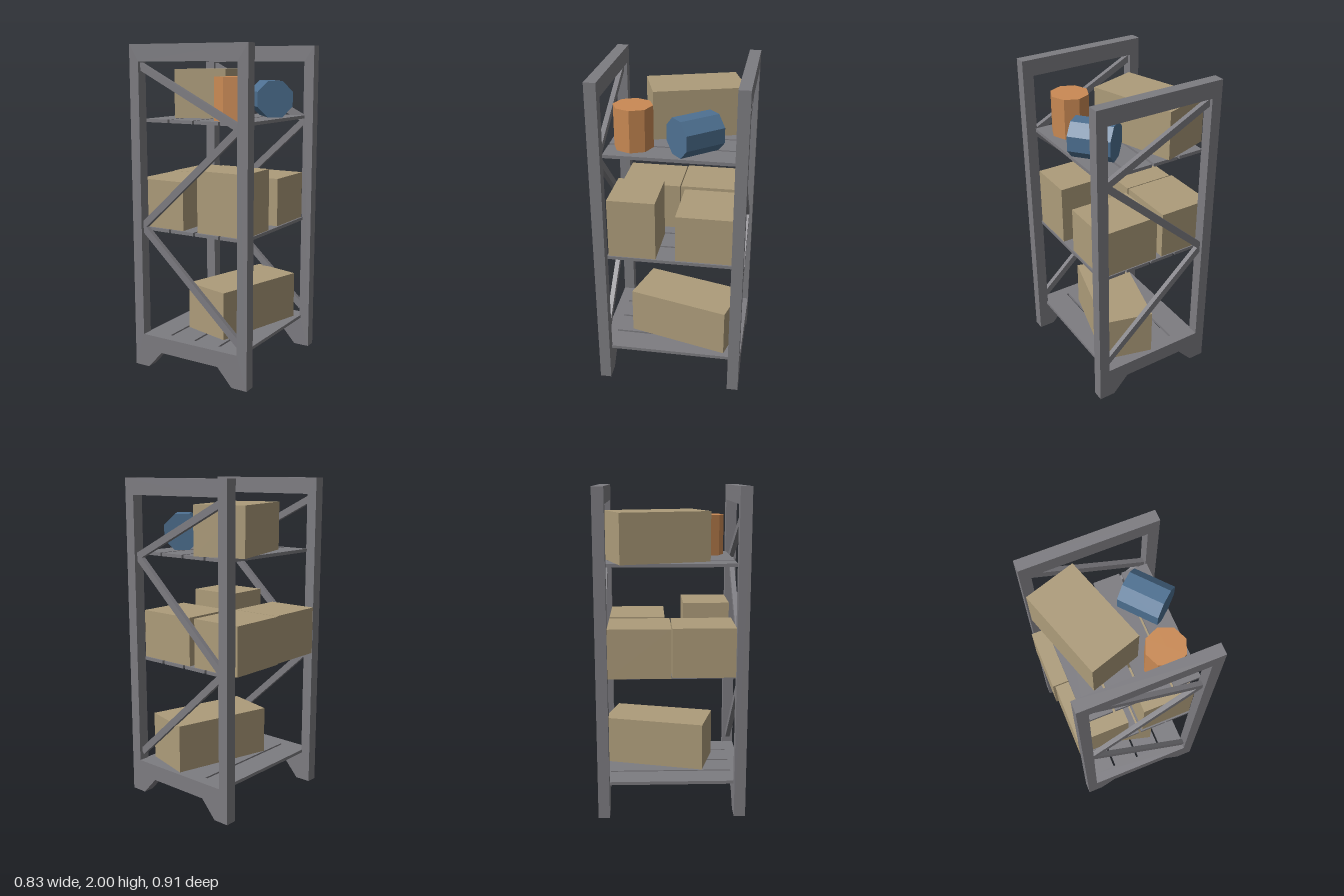
import * as THREE from 'three';

const mat = (name, color) => {
  const m = new THREE.MeshStandardMaterial({ color });
  m.name = name;
  return m;
};

export function createModel() {
  const model = new THREE.Group();
  model.name = 'storageRack';
  const steel = mat('steelGrey', 0x7d7c81);
  const card = mat('cardboard', 0xad9c7a);
  const orange = mat('orangePaint', 0xca8a54);
  const blue = mat('bluePaint', 0x4e7192);

  const add = (parent, name, geo, material, x, y, z, ry = 0) => {
    const mesh = new THREE.Mesh(geo, material);
    mesh.name = name;
    mesh.position.set(x, y, z);
    mesh.rotation.y = ry;
    parent.add(mesh);
    return mesh;
  };
  const path = (points) => points.map(([x, y]) => new THREE.Vector2(x, y));

  // End frame: posts, top rail and footed bottom rail in one outline
  const outline = new THREE.Shape(path([
    [-0.4, 0], [-0.3, 0], [-0.2, 0.11], [0.21, 0.11], [0.31, 0], [0.413, 0], [0.413, 2], [-0.4, 2],
  ]));
  outline.holes.push(new THREE.Path(path([
    [-0.335, 0.21], [-0.335, 1.9], [0.345, 1.9], [0.345, 0.21],
  ])));
  const frameGeo = new THREE.ExtrudeGeometry(outline, { depth: 0.07, bevelEnabled: false });
  frameGeo.translate(0, 0, -0.035);

  // Zigzag of diagonal braces between the posts
  const zigzag = [[-0.345, 1.875], [0.345, 1.53], [-0.345, 0.9], [0.345, 0.265]];
  for (const [side, z] of [['front', 0.418], ['back', -0.418]]) {
    const end = new THREE.Group();
    end.name = side + 'EndFrame';
    end.position.z = z;
    model.add(end);
    add(end, side + 'Frame', frameGeo, steel, 0, 0, 0);
    for (let i = 0; i < 3; i++) {
      const [x0, y0] = zigzag[i], [x1, y1] = zigzag[i + 1];
      const length = Math.hypot(x1 - x0, y1 - y0);
      const brace = add(end, side + 'Brace', new THREE.BoxGeometry(length, 0.042, 0.03), steel,
        (x0 + x1) / 2, (y0 + y1) / 2, 0);
      brace.rotation.z = Math.atan((y1 - y0) / (x1 - x0));
    }
  }

  // Three shelves of four slats
  const slatGeo = new THREE.BoxGeometry(0.162, 0.02, 0.77);
  for (const top of [0.21, 0.89, 1.56]) {
    const shelf = new THREE.Group();
    shelf.name = 'shelf';
    model.add(shelf);
    for (let i = 0; i < 4; i++) {
      add(shelf, 'slat', slatGeo, steel, -0.259 + i * 0.177, top - 0.01, 0);
    }
  }

  // Cartons: name, size, centre x, shelf top, centre z, turn
  const cartons = [
    ['bottomCarton', [0.32, 0.3, 0.65], 0.08, 0.21, -0.072, -0.264],
    ['middleRightFrontCarton', [0.325, 0.298, 0.378], -0.238, 0.892, 0.19, 0],
    ['middleRightBackCarton', [0.335, 0.298, 0.375], -0.247, 0.892, -0.193, 0],
    ['middleLeftBackCarton', [0.385, 0.298, 0.345], 0.153, 0.892, -0.208, 0],
    ['uprightCarton', [0.325, 0.375, 0.292], 0.187, 0.892, 0.23, 0],
    ['topCarton', [0.32, 0.295, 0.561], -0.1625, 1.56, -0.0815, 0.308],
  ];
  for (const [name, size, x, y, z, turn] of cartons) {
    add(model, name, new THREE.BoxGeometry(...size), card, x, y + size[1] / 2, z, turn);
  }

  // Eight-sided drums: one standing, one lying on a flat
  const drum = () => new THREE.CylinderGeometry(0.118, 0.118, 0.255, 8).toNonIndexed();
  const standing = drum();
  standing.computeVertexNormals();
  add(model, 'standingDrum', standing, orange, 0.19, 1.686, 0.232);
  const lying = drum().rotateY(Math.PI / 8).rotateX(Math.PI / 2);
  lying.computeVertexNormals();
  add(model, 'lyingDrum', lying, blue, 0.237, 1.675, -0.137, 0.706);

  return model;
}
